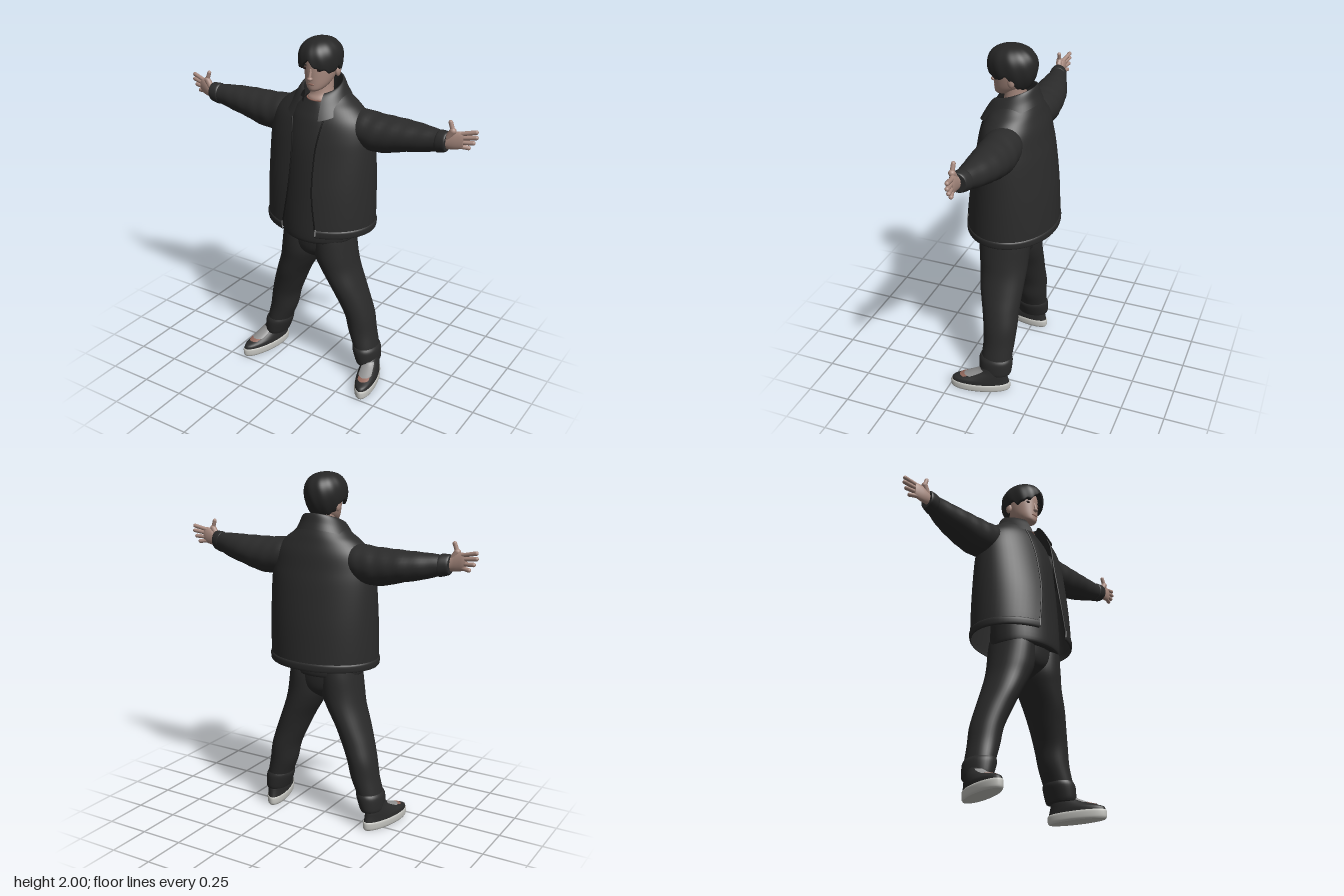
import * as THREE from 'three';

const mat = (name, color, side = THREE.FrontSide) =>
  Object.assign(new THREE.MeshStandardMaterial({ color, side }), { name });

// Catmull-Rom subdivision of a list of cross-section rows
function smooth(rows, k = 5) {
  const out = [];
  for (let i = 0; i < rows.length - 1; i++) {
    const p0 = rows[Math.max(i - 1, 0)], p1 = rows[i], p2 = rows[i + 1];
    const p3 = rows[Math.min(i + 2, rows.length - 1)];
    for (let j = 0; j < k; j++) {
      const t = j / k;
      out.push(p1.map((b, c) => b + 0.5 * t * (p2[c] - p0[c] + t * (2 * p0[c] - 5 * b + 4 * p2[c] - p3[c]
        + t * (3 * (b - p2[c]) + p3[c] - p0[c])))));
    }
  }
  out.push(rows[rows.length - 1]);
  return out;
}

// Skin a stack of point rings; closed stacks get flat end caps
function skin(rings, closed = true, caps = closed) {
  const n = rings[0].length, pos = rings.flat(2), idx = [];
  for (let i = 0; i < rings.length - 1; i++) {
    for (let j = 0; j < (closed ? n : n - 1); j++) {
      const a = i * n + j, b = i * n + (j + 1) % n, c = a + n, d = b + n;
      idx.push(a, b, d, a, d, c);
    }
  }
  if (caps) {
    for (const end of [0, 1]) {
      const ring = rings[end ? rings.length - 1 : 0], base = pos.length / 3;
      pos.push(...ring.flat(), ...[0, 1, 2].map(k => ring.reduce((s, p) => s + p[k], 0) / n));
      for (let j = 0; j < n; j++) {
        const a = base + j, b = base + (j + 1) % n;
        idx.push(...(end ? [a, b, base + n] : [b, a, base + n]));
      }
    }
  }
  const g = new THREE.BufferGeometry();
  g.setAttribute('position', new THREE.Float32BufferAttribute(pos, 3));
  g.setIndex(idx);
  g.computeVertexNormals();
  return g;
}

// Upright form from rows [y, cx, cz, rx, rz]
const upright = (rows, n = 36, k = 5) => skin(smooth(rows, k).map(([y, cx, cz, rx, rz]) =>
  Array.from({ length: n }, (_, j) => {
    const a = j / n * Math.PI * 2;
    return [cx + rx * Math.sin(a), y, cz + rz * Math.cos(a)];
  })));

// Sideways form from rows [x, cy, cz, ry, rz], with optional cloth folds
const sideways = (rows, fold = 0, n = 28) => skin(smooth(rows).map(([x, cy, cz, ry, rz]) =>
  Array.from({ length: n }, (_, j) => {
    const a = j / n * Math.PI * 2, f = 1 + fold * Math.sin(x * 70 + a * 2);
    return [x, cy + ry * f * Math.cos(a), cz + rz * f * Math.sin(a)];
  })));

// Open wrap from rows [y, cz, rx, rz, start angle], drooping towards the front by tilt
const wrap = (rows, tilt = 0, k = 5, n = 56) => skin(smooth(rows, k).map(([y, cz, rx, rz, s]) =>
  Array.from({ length: n + 1 }, (_, j) => {
    const a = s + (Math.PI * 2 - 2 * s) * j / n, z = cz + rz * Math.cos(a);
    return [rx * Math.sin(a), y - tilt * (z + 0.1), z];
  })), false);

// Rounded rod between two points
function rod(a, b, r) {
  const A = new THREE.Vector3(...a), B = new THREE.Vector3(...b), d = B.clone().sub(A);
  const g = new THREE.CapsuleGeometry(r, d.length(), 5, 12);
  g.applyQuaternion(new THREE.Quaternion().setFromUnitVectors(new THREE.Vector3(0, 1, 0), d.normalize()));
  return g.translate(...A.add(B).multiplyScalar(0.5).toArray());
}
const ball = (x, y, z, rx, ry, rz) => new THREE.SphereGeometry(1, 20, 14).scale(rx, ry, rz).translate(x, y, z);

function mirrored(geo) {
  const g = geo.clone().scale(-1, 1, 1), ix = g.index.array;
  for (let i = 0; i < ix.length; i += 3) [ix[i], ix[i + 1]] = [ix[i + 1], ix[i]];
  g.computeVertexNormals();
  return g;
}

export function createModel() {
  const model = new THREE.Group();
  const D = THREE.DoubleSide;
  const jacket = mat('jacket cloth', 0x2b2b2b, D), shirt = mat('shirt cloth', 0x292929);
  const denim = mat('trouser cloth', 0x2a2a2a), hairMat = mat('hair', 0x262626, D);
  const flesh = mat('skin', 0xa98b80), white = mat('sole', 0xc6c6c1);
  const grey = mat('grey trim', 0x909090, D), seam = mat('dark seam', 0x111111);
  const eye = mat('eye', 0x2a1d1b), lip = mat('lip and tan', 0x94695d, D);
  const add = (name, geo, m) => {
    const mesh = new THREE.Mesh(geo, m);
    mesh.name = name;
    model.add(mesh);
  };
  const pair = (name, geo, m) => {
    add('left ' + name, geo, m);
    add('right ' + name, mirrored(geo), m);
  };

  // Trousers
  pair('trouser leg', upright([[.12, .32, -.005, .06, .086], [.2, .305, -.005, .07, .09], [.3, .275, -.01, .08, .092],
    [.4, .255, -.01, .083, .1], [.5, .22, 0, .09, .11], [.6, .18, .01, .095, .125], [.7, .135, .015, .108, .135],
    [.78, .11, .02, .118, .143], [.88, .1, .02, .112, .148], [.94, .1, .02, .1, .145]]), denim);
  pair('trouser cuff', upright([[.11, .322, -.003, .062, .09], [.13, .32, -.003, .068, .097],
    [.19, .308, -.003, .077, .1], [.215, .302, -.003, .07, .092]]), denim);
  add('trouser seat', upright([[.735, 0, .015, .02, .05], [.78, 0, .018, .1, .115], [.83, 0, .02, .17, .14],
    [.92, 0, .02, .2, .15]]), denim);

  // Shirt
  add('shirt', upright([[.885, 0, .03, .208, .163], [.92, 0, .03, .217, .172], [1.1, 0, .028, .22, .163],
    [1.4, 0, .02, .2, .15], [1.55, 0, .01, .18, .126], [1.62, 0, .005, .14, .1], [1.67, 0, .0, .08, .078]], 44), shirt);

  // Open jacket, its hem, front seams and zip pulls
  const body = [[.955, 0, .315, .247, .34], [1.0, 0, .32, .25, .33], [1.2, -.005, .32, .235, .24],
    [1.4, -.01, .315, .205, .23], [1.5, -.01, .305, .185, .27], [1.58, -.013, .28, .166, .34],
    [1.64, -.016, .225, .143, .46], [1.68, -.02, .17, .125, .6], [1.72, -.02, .125, .105, .8]];
  add('jacket body', wrap(body), jacket);
  add('jacket hem', wrap([[.95, 0, .313, .245, .35], [.955, 0, .322, .254, .345], [.985, 0, .325, .256, .34],
    [.995, 0, .319, .25, .335]], 0, 3), jacket);
  const edge = smooth(body.slice(0, 7), 3).map(([y, cz, rx, rz, a]) =>
    new THREE.Vector3(rx * Math.sin(a), y, cz + rz * Math.cos(a) + .002));
  pair('jacket front seam', new THREE.TubeGeometry(new THREE.CatmullRomCurve3(edge), 50, .0045, 6), seam);
  pair('zip pull', rod([.106, .965, .24], [.108, 1.0, .24], .004), grey);
  add('jacket collar', wrap([[1.68, -.01, .12, .11, .75], [1.74, -.012, .108, .1, .7], [1.775, -.012, .103, .102, .66],
    [1.785, -.008, .11, .112, .62], [1.77, 0, .125, .128, .56], [1.73, .01, .148, .148, .5],
    [1.69, .016, .175, .167, .46]], .36), jacket);

  // Sleeves and cuffs
  pair('sleeve', sideways([[.18, 1.545, -.03, .085, .09], [.25, 1.535, -.03, .1, .105], [.32, 1.525, -.03, .103, .11],
    [.4, 1.527, -.03, .099, .105], [.5, 1.54, -.03, .084, .095], [.6, 1.55, -.022, .072, .075],
    [.68, 1.56, -.01, .058, .055], [.735, 1.566, 0, .05, .044]], .012), jacket);
  pair('sleeve cuff', sideways([[.69, 1.56, -.006, .056, .052], [.7, 1.562, -.005, .06, .054],
    [.735, 1.567, 0, .055, .049], [.745, 1.568, .001, .05, .044]]), jacket);

  // Hands with thumb up
  pair('palm', sideways([[.71, 1.567, .004, .034, .026], [.75, 1.573, .006, .039, .023], [.78, 1.583, .004, .047, .021],
    [.81, 1.59, 0, .047, .017], [.83, 1.592, -.002, .038, .012]]), flesh);
  [[1.623, .888, 1.642], [1.602, .89, 1.614], [1.579, .876, 1.583], [1.558, .852, 1.553]].forEach(([y, tx, ty], i) =>
    pair('finger ' + (i + 1), rod([.81, y, -.001], [tx, ty, -.015], .0115), flesh));
  pair('thumb base', rod([.752, 1.597, .01], [.775, 1.635, .012], .018), flesh);
  pair('thumb tip', rod([.775, 1.635, .012], [.76, 1.678, .01], .0115), flesh);

  // Neck, head, ears and face
  add('neck', upright([[1.64, 0, 0, .085, .075], [1.675, 0, 0, .077, .073], [1.71, 0, -.005, .06, .06],
    [1.8, 0, -.01, .058, .06]]), flesh);
  add('neckline', new THREE.TorusGeometry(.079, .004, 6, 36).rotateX(Math.PI / 2).translate(0, 1.671, 0), lip);
  add('head', upright([[1.728, 0, .076, .022, .026], [1.74, 0, .058, .044, .05], [1.765, 0, .034, .063, .076],
    [1.8, 0, .015, .076, .096], [1.85, 0, .005, .085, .106], [1.9, 0, 0, .087, .108], [1.95, 0, 0, .07, .085],
    [1.975, 0, 0, .03, .04]], 40), flesh);
  pair('ear', ball(.09, 1.825, -.015, .013, .03, .02).rotateZ(0), flesh);
  add('nose bridge', rod([0, 1.845, .107], [0, 1.802, .12], .0075), flesh);
  add('nose tip', ball(0, 1.798, .118, .015, .011, .014), flesh);
  pair('eye', ball(.036, 1.846, .1, .017, .007, .005).rotateY(.06), eye);
  pair('brow', ball(.037, 1.865, .1, .022, .005, .006), hairMat);
  add('mouth', ball(0, 1.767, .108, .021, .005, .005), lip);

  // Bowl of hair with a parted fringe, curling under at its lower edge
  const hairRings = [], N = 96;
  const lower = smooth([[1.905], [1.862], [1.85], [1.83], [1.855], [1.8], [1.78], [1.775], [1.77]], 12);
  for (let i = 0; i <= 24; i++) {
    hairRings.push(Array.from({ length: N }, (_, j) => {
      const a = j / N * Math.PI * 2, d = Math.min(a, Math.PI * 2 - a) / Math.PI;
      const yb = lower[Math.round(d * (lower.length - 1))][0] + .004 * Math.sin(a * 17);
      const t = Math.max(0, (i - 1) / 23), y = yb + (2 - yb) * Math.sin(t * Math.PI / 2);
      const h = (y - 1.89) / .11;
      let r = h > 0 ? Math.pow(Math.max(0, 1 - h ** 2.3), 1 / 2.3) : 1 - .3 * h * h;
      r *= (1 + .01 * Math.sin(a * 11 + y * 30)) * (i === 0 ? .86 : 1);
      return [.113 * r * Math.sin(a), y, .01 + .137 * r * Math.cos(a)];
    }));
  }
  add('hair', skin(hairRings, true, false), hairMat);

  // Shoes, toes turned out
  const place = g => g.rotateY(.25).translate(.362, 0, .075);
  pair('shoe sole', place(upright([[0, 0, 0, .054, .168], [.012, 0, 0, .06, .175], [.04, 0, 0, .062, .176],
    [.05, 0, 0, .058, .172]], 40, 4)), white);
  const upper = [[.045, 0, 0, .058, .17], [.068, 0, -.002, .058, .162], [.085, 0, -.025, .055, .135],
    [.1, 0, -.045, .052, .112], [.125, 0, -.07, .047, .08], [.15, 0, -.08, .043, .062]];
  pair('shoe upper', place(upright(upper, 40)), denim);
  // Strip over the front of the upper, between two heights and angles
  const strip = (from, to, half) => place(skin(smooth(upper, 5).slice(from, to).map(([y, , cz, rx, rz]) =>
    Array.from({ length: 13 }, (_, j) => {
      const a = half * (j / 6 - 1);
      return [(rx + .003) * Math.sin(a), y + .003, cz + (rz + .003) * Math.cos(a)];
    })), false));
  pair('shoe tongue', strip(12, 23, .75), grey);
  pair('shoe vamp patch', strip(9, 13, .6), lip);

  return model;
}
